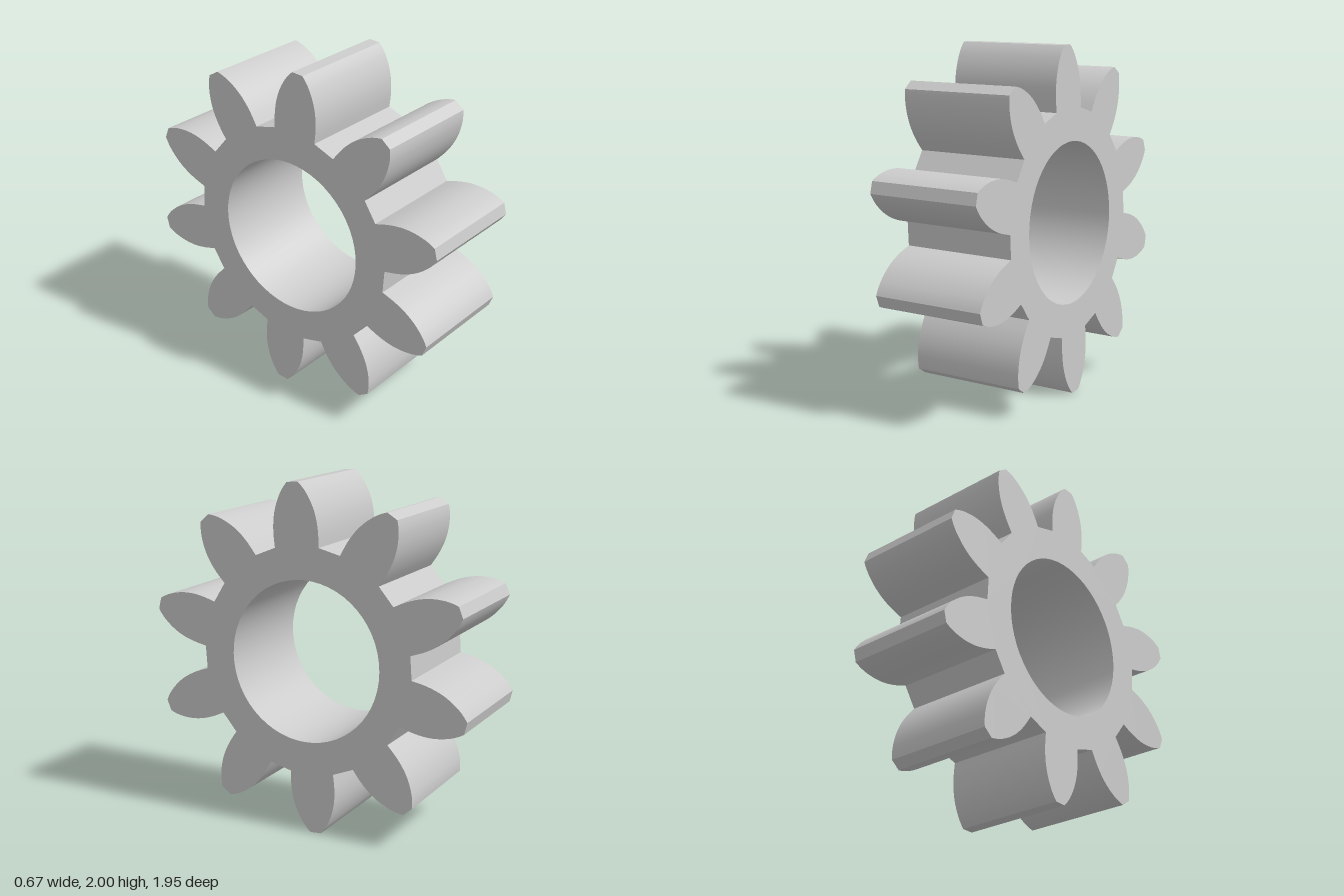
import * as THREE from 'three';
import { toCreasedNormals } from 'three/addons/utils/BufferGeometryUtils.js';

const TEETH = 10;
const WIDTH = 0.66;
const BORE = 0.46;
const PHASE = THREE.MathUtils.degToRad(-3.8);

// One flank of a tooth: x = half width, y = distance from the axle
const flank = new THREE.SplineCurve([
  [0.136, 0.635], [0.139, 0.72], [0.131, 0.8], [0.111, 0.87],
  [0.082, 0.93], [0.056, 0.967], [0.034, 0.991],
].map(([w, r]) => new THREE.Vector2(w, r))).getPoints(18);

function gearShape() {
  const points = [];
  for (let i = 0; i < TEETH; i++) {
    const a = PHASE - (i * Math.PI * 2) / TEETH;
    const place = (w, r) => points.push(new THREE.Vector2(
      r * Math.sin(a) + w * Math.cos(a),
      r * Math.cos(a) - w * Math.sin(a),
    ));
    // Counter-clockwise: up the right flank, across the blunt tip, down the left
    flank.forEach((p) => place(p.x, p.y));
    [...flank].reverse().forEach((p) => place(-p.x, p.y));
  }
  const shape = new THREE.Shape(points);
  // The bore runs clockwise so that its wall faces the axle
  const bore = new THREE.Path();
  bore.absarc(0, 0, BORE, 0, Math.PI * 2, true);
  shape.holes.push(bore);
  return shape;
}

export function createModel() {
  const group = new THREE.Group();
  group.name = 'spurGear';

  const geometry = new THREE.ExtrudeGeometry(gearShape(), {
    depth: WIDTH, bevelEnabled: false, curveSegments: 28,
  });
  // Lay the axle along x, then give the body its slight skew
  geometry.translate(0, 0, -WIDTH / 2);
  geometry.rotateY(Math.PI / 2);
  geometry.applyMatrix4(new THREE.Matrix4().set(
    1, 0.005, 0, 0,
    -0.026, 1, 0, 0,
    0.012, 0, 1, 0,
    0, 0, 0, 1,
  ));

  // Rest the lowest tooth on the ground
  geometry.computeBoundingBox();
  geometry.translate(0, -geometry.boundingBox.min.y, 0);

  const gear = new THREE.Mesh(
    toCreasedNormals(geometry, 0.5),
    new THREE.MeshStandardMaterial({ color: 0xcccccc }),
  );
  gear.name = 'toothedRing';
  group.add(gear);
  return group;
}
